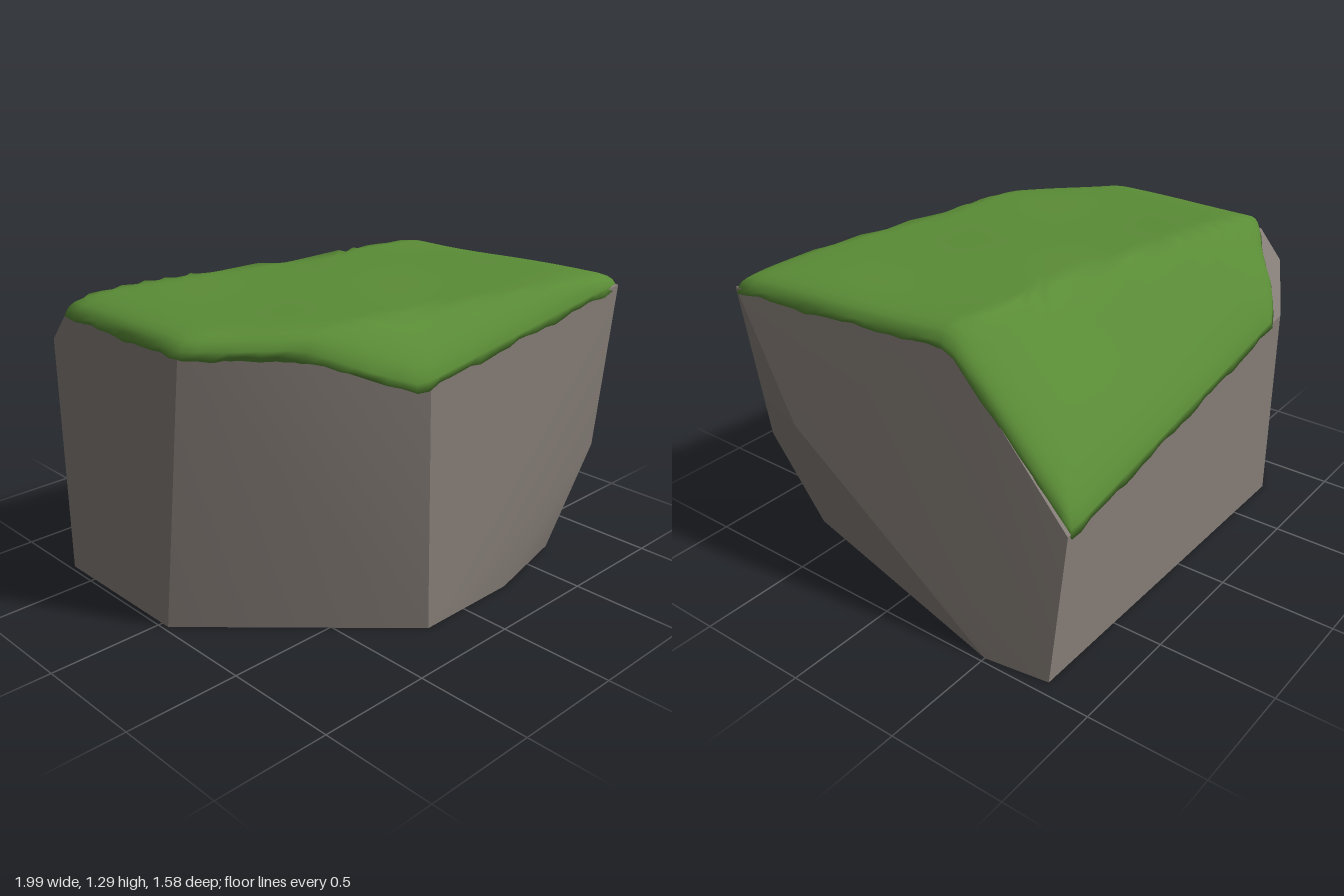
import * as THREE from 'three';
import { ConvexGeometry } from 'three/addons/geometries/ConvexGeometry.js';
import { toCreasedNormals } from 'three/addons/utils/BufferGeometryUtils.js';

// Height of the rock's top: a flat crown, a long back slope and a front bevel
function rockTop(x, z) {
  const back = 0.6 + 1.11 * (z + 0.78) + 0.19 * (0.83 - x);
  const front = 1.06 + 0.134 * (x + 0.25) - 0.73 * (z - 0.78);
  return Math.min(1.205, back, front);
}

// Faceted boulder as the hull of its corners
function rockGeometry() {
  const corners = [
    // base
    [0.94, 0, -0.78], [0.98, 0, -0.5], [0.7, 0, 0.68], [0.27, 0, 0.78], [-0.22, 0, 0.78],
    [-0.98, 0, 0.04], [-0.98, 0, -0.66], [-0.78, 0, -0.78],
    // right flank
    [1.0, 0.72, 0.45], [0.85, 0.5, 0.78], [0.83, 0.6, -0.78],
    // top rim
    [0.95, 1.22, 0.78], [0.82, 1.2, -0.24], [-0.25, 1.06, 0.78], [-0.62, 1.2, 0.52],
    [-0.98, 1.2, 0.2], [-0.98, 1.2, -0.55], [-0.98, 1.07, -0.66], [-0.78, 0.9, -0.78],
  ];
  const hull = new ConvexGeometry(corners.map((c) => new THREE.Vector3(...c)));
  return toCreasedNormals(hull, 0.45);
}

// Grass blanket: concentric rings that follow the rock top and round off at the rim
function grassGeometry() {
  const outline = [
    [-0.99, -0.53], [-0.88, -0.62], [-0.82, -0.71], [-0.7, -0.785], [0.81, -0.785], [0.825, -0.35],
    [0.86, 0], [0.9, 0.3], [0.95, 0.77], [0.85, 0.785], [-0.3, 0.78], [-0.46, 0.67],
    [-0.75, 0.43], [-0.99, 0.2],
  ];
  const shape = new THREE.Shape(outline.map(([x, z]) => new THREE.Vector2(x, z)));
  shape.closePath();
  const n = 110;
  const rim = shape.getSpacedPoints(n).slice(0, n);

  const positions = [0, rockTop(0, 0) + 0.085, 0];
  const addRing = (scale, lift) => rim.forEach((p, i) => {
    const x = p.x * scale, z = p.y * scale;
    positions.push(x, rockTop(x, z) + lift(x, z, i), z);
  });
  const scales = [0.15, 0.3, 0.4, 0.5, 0.58, 0.66, 0.74, 0.82, 0.88, 0.93, 0.965, 0.985, 0.997];
  scales.forEach((t) => addRing(t, (x, z) =>
    0.08 * Math.sqrt(1 - t ** 16) + 0.005 * Math.sin(5 * x + 1) * Math.cos(6 * z)));
  // ragged hanging edge, then a tuck into the rock
  addRing(1.005, (x, z, i) => -0.006 + 0.007 * Math.sin(i * 0.9) + 0.005 * Math.sin(i * 2.3));
  addRing(0.96, () => -0.04);

  const index = [];
  for (let i = 0; i < n; i++) {
    const j = (i + 1) % n;
    index.push(0, 1 + j, 1 + i);
    for (let r = 0; r < scales.length + 1; r++) {
      const a = 1 + r * n, b = a + n;
      index.push(a + i, b + j, b + i, a + i, a + j, b + j);
    }
  }
  const geometry = new THREE.BufferGeometry();
  geometry.setAttribute('position', new THREE.Float32BufferAttribute(positions, 3));
  geometry.setIndex(index);
  geometry.computeVertexNormals();
  return geometry;
}

export function createModel() {
  const stone = new THREE.MeshStandardMaterial({ color: 0x857d77 });
  stone.name = 'stone grey';
  const green = new THREE.MeshStandardMaterial({ color: 0x5a8c36 });
  green.name = 'grass green';

  const model = new THREE.Group();
  model.name = 'grassyRock';
  const rock = new THREE.Mesh(rockGeometry(), stone);
  rock.name = 'rock';
  const grass = new THREE.Mesh(grassGeometry(), green);
  grass.name = 'grassCover';
  model.add(rock, grass);
  return model;
}
